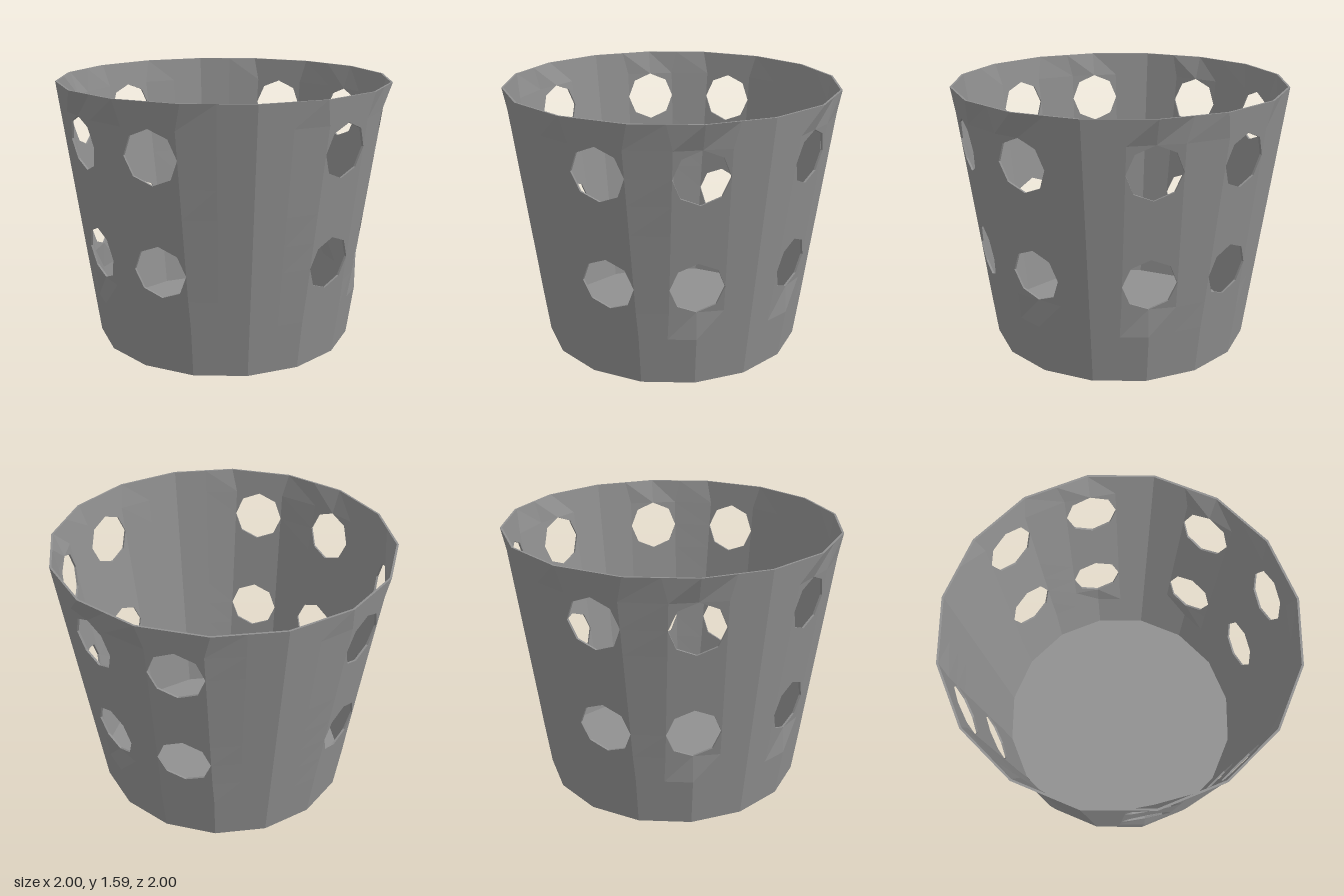
import * as THREE from 'three';

const SIDES = 16, HALF_STEP = Math.PI / SIDES;
const HEIGHT = 1.585, R_BOTTOM = 0.79, R_TOP = 1, WALL = 0.012;
const HOLE_R = 0.156;

// Rows from base to rim: plain rows are a regular polygon, the others hug the holes
const ROWS = [
  { y: 0, plain: true }, { y: 0.3, plain: true },
  { y: 0.625 - HOLE_R }, { y: 0.625, hole: true }, { y: 0.625 + HOLE_R },
  { y: 0.955 },
  { y: 1.285 - HOLE_R }, { y: 1.285, hole: true }, { y: 1.285 + HOLE_R },
  { y: HEIGHT, plain: true },
];

// Columns of one quadrant; a hole column has one neighbour on each side
const QUADRANT = [{ deg: 0 }, { deg: 12 }];
for (const deg of [33.75, 67.5]) {
  for (const side of [-1, 0, 1]) QUADRANT.push({ deg, side });
}
const mirrored = QUADRANT.slice(1).reverse().map(({ deg, side }) => ({ deg: 180 - deg, side: side && -side }));
const HALF = [...QUADRANT, { deg: 90 }, ...mirrored];
const COLUMNS = [...HALF, ...HALF.map((c) => ({ ...c, deg: c.deg + 180 }))];

const apothem = (y) => (R_BOTTOM + ((R_TOP - R_BOTTOM) * y) / HEIGHT) * Math.cos(HALF_STEP);

// Radius of the regular polygon in a given direction
function polygonRadius(angle, y) {
  const step = HALF_STEP * 2;
  const fromPanelCentre = angle - (Math.floor(angle / step) + 0.5) * step;
  return apothem(y) / Math.cos(fromPanelCentre);
}

// Point on the wall; the area around each hole is flat
function wallPoint(i, j, depth) {
  const { deg, side } = COLUMNS[i % COLUMNS.length];
  const { y, plain } = ROWS[j];
  const centre = THREE.MathUtils.degToRad(deg);
  const spread = plain ? HALF_STEP : HOLE_R / apothem(y);
  const angle = centre + (side ?? 0) * spread;
  let r = polygonRadius(angle, y);
  if (side === 0 && !plain) r = polygonRadius(centre + spread, y) * Math.cos(spread);
  r -= depth;
  return new THREE.Vector3(r * Math.sin(angle), y, r * Math.cos(angle));
}

const isHoleCentre = ([i, j]) => COLUMNS[i % COLUMNS.length].side === 0 && ROWS[j].hole;

// Corners of a grid cell; a hole centre moves out to the octagon's diagonal corner
function cellCorners(cell, pierced, depth) {
  const points = cell.map(([i, j]) => wallPoint(i, j, depth));
  if (pierced) {
    const [centre, b, , d] = points;
    const offset = b.clone().add(d).addScaledVector(centre, -2);
    centre.addScaledVector(offset, Math.SQRT1_2);
  }
  return points;
}

function wallGeometry() {
  const triangles = [];
  const quad = (a, b, c, d) => triangles.push(a, b, c, a, c, d);

  for (let i = 0; i < COLUMNS.length; i++) {
    for (let j = 0; j < ROWS.length - 1; j++) {
      const cell = [[i, j], [i + 1, j], [i + 1, j + 1], [i, j + 1]];
      const k = cell.findIndex(isHoleCentre);
      const pierced = k >= 0;
      if (pierced) cell.push(...cell.splice(0, k));

      const [a, b, c, d] = cellCorners(cell, pierced, 0);
      const [a2, b2, c2, d2] = cellCorners(cell, pierced, WALL);
      quad(a, b, c, d); // outside
      quad(a2, d2, c2, b2); // inside
      if (pierced) { // edge of the hole
        quad(b, a, a2, b2);
        quad(a, d, d2, a2);
      }
      if (j === 0) quad(b, a, a2, b2); // foot
      if (j === ROWS.length - 2) quad(d, c, c2, d2); // rim
    }
  }
  const geometry = new THREE.BufferGeometry().setFromPoints(triangles);
  geometry.computeVertexNormals();
  return geometry;
}

export function createModel() {
  const group = new THREE.Group();
  group.name = 'perforatedBucket';
  const material = new THREE.MeshStandardMaterial({ color: 0x909090, flatShading: true });

  // Tapered wall with two rows of octagonal holes
  const wall = new THREE.Mesh(wallGeometry(), material);
  wall.name = 'wall';
  group.add(wall);

  // Thin floor inside the wall
  const floorRadius = R_BOTTOM - WALL;
  const floor = new THREE.Mesh(new THREE.CylinderGeometry(floorRadius, floorRadius, WALL, SIDES), material);
  floor.name = 'floor';
  floor.position.y = WALL / 2;
  group.add(floor);

  return group;
}
